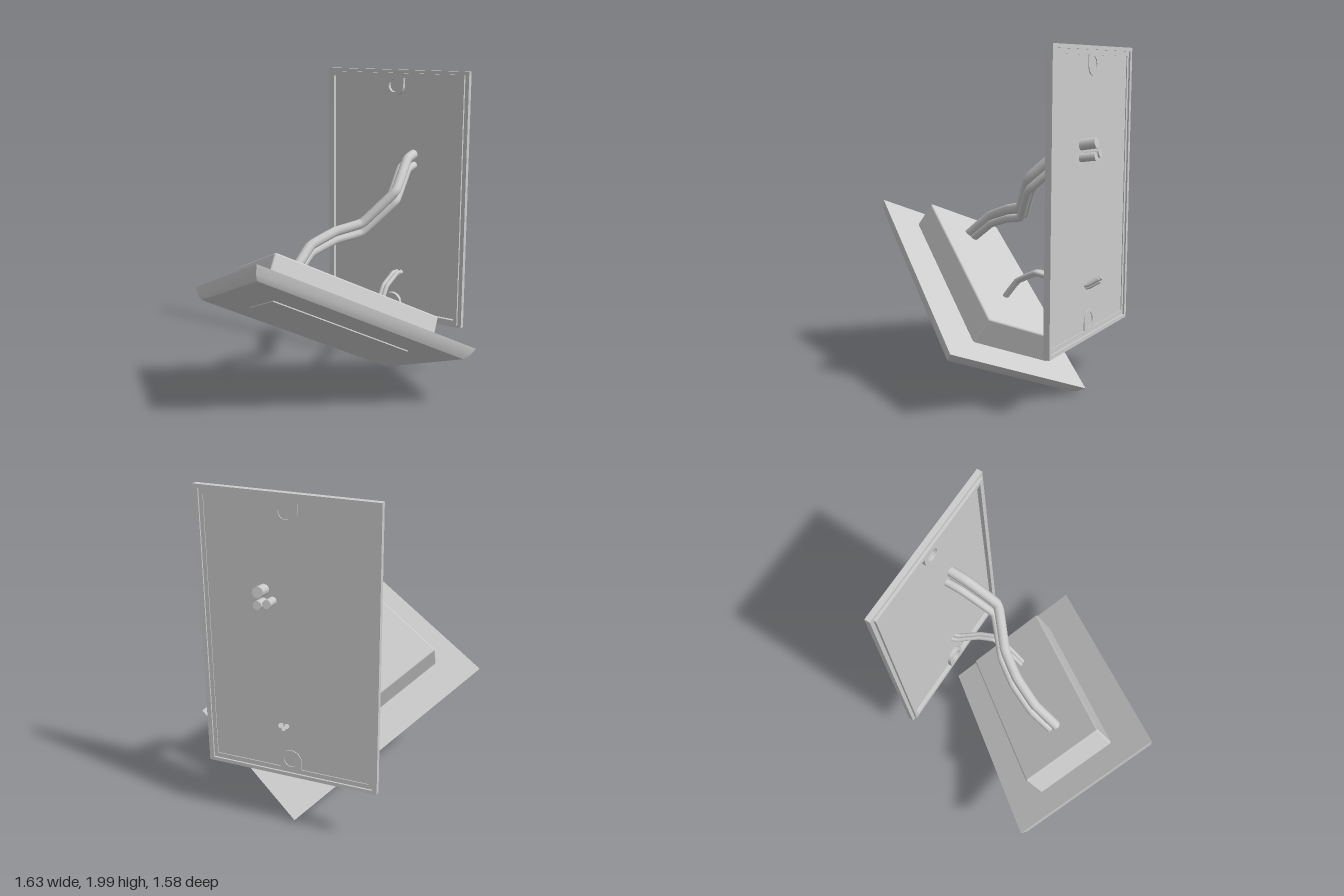
import * as THREE from 'three';
import { toCreasedNormals } from 'three/addons/utils/BufferGeometryUtils.js';
import { RoundedBoxGeometry } from 'three/addons/geometries/RoundedBoxGeometry.js';

const grey = new THREE.MeshStandardMaterial({ color: 0xcccccc });

function addMesh(parent, name, geometry, x = 0, y = 0, z = 0) {
  const mesh = new THREE.Mesh(geometry, grey);
  mesh.name = name;
  mesh.position.set(x, y, z);
  parent.add(mesh);
  return mesh;
}

// Rectangle outline of half width w and half height h
function rectangle(w, h) {
  return new THREE.Shape([[-w, -h], [w, -h], [w, h], [-w, h]].map(p => new THREE.Vector2(...p)));
}

// Rectangular opening with a rounded screw tab reaching in at top and bottom
function tabbedOpening(w, h, tabY, r) {
  const p = new THREE.Path();
  p.moveTo(-w, -h).lineTo(-r, -h).lineTo(-r, -tabY);
  p.absarc(0, -tabY, r, Math.PI, 0, true);
  p.lineTo(r, -h).lineTo(w, -h).lineTo(w, h).lineTo(r, h).lineTo(r, tabY);
  p.absarc(0, tabY, r, 0, Math.PI, true);
  p.lineTo(-r, h).lineTo(-w, h).closePath();
  return p;
}

function extrude(shape, depth) {
  return new THREE.ExtrudeGeometry(shape, { depth, bevelEnabled: false, curveSegments: 8 });
}

// Solid made of stacked rectangles: rings of [inset, z], smooth along the profile
function steppedSlab(w, h, rings) {
  const pos = [], index = [];
  for (const [inset, z] of rings) {
    const a = w - inset, b = h - inset;
    pos.push(-a, -b, z, a, -b, z, a, b, z, -a, b, z);
  }
  for (let r = 0; r < rings.length - 1; r++) {
    for (let i = 0; i < 4; i++) {
      const a = r * 4 + i, b = r * 4 + (i + 1) % 4;
      index.push(a, b, b + 4, a, b + 4, a + 4);
    }
  }
  const t = (rings.length - 1) * 4;
  index.push(0, 2, 1, 0, 3, 2, t, t + 1, t + 2, t, t + 2, t + 3);
  const g = new THREE.BufferGeometry();
  g.setAttribute('position', new THREE.Float32BufferAttribute(pos, 3));
  g.setIndex(index);
  return toCreasedNormals(g, 0.45);
}

// Bundle of strands following one path; the strands spread towards the far end
function cableBundle(name, path, strands) {
  const group = new THREE.Group();
  group.name = name;
  for (const { offset, radius } of strands) {
    const points = path.map((p, i) => {
      const spread = 0.65 + 0.35 * i / (path.length - 1);
      return new THREE.Vector3(...p).addScaledVector(new THREE.Vector3(...offset), spread);
    });
    const curve = new THREE.CatmullRomCurve3(points, false, 'catmullrom', 0.12);
    addMesh(group, 'cableStrand', new THREE.TubeGeometry(curve, 48, radius, 10));
    // end caps
    for (const [t, sign] of [[0, -1], [1, 1]]) {
      const cap = addMesh(group, 'cableEnd', new THREE.CircleGeometry(radius, 10));
      cap.position.copy(curve.getPointAt(t));
      cap.quaternion.setFromUnitVectors(new THREE.Vector3(0, 0, 1), curve.getTangentAt(t).multiplyScalar(sign));
    }
  }
  return group;
}

function createWallPlate() {
  const plate = new THREE.Group();
  plate.name = 'wallPlate';
  plate.position.set(0.005, 1.175, 0);

  const outer = rectangle(0.515, 0.825);
  outer.holes.push(rectangle(0.488, 0.803));
  addMesh(plate, 'outerFrame', extrude(outer, 0.034), 0, 0, -0.706);

  const inner = rectangle(0.49, 0.805);
  inner.holes.push(tabbedOpening(0.465, 0.775, 0.725, 0.065));
  for (const s of [-1, 1]) {
    inner.holes.push(new THREE.Path().absarc(0, s * 0.725, 0.042, 0, Math.PI * 2, false));
  }
  addMesh(plate, 'innerFrame', extrude(inner, 0.04), 0, 0, -0.696);

  addMesh(plate, 'backSheet', new THREE.BoxGeometry(0.97, 1.6, 0.01), 0, 0, -0.686);
  return plate;
}

function createFaceUnit() {
  const unit = new THREE.Group();
  unit.name = 'faceUnit';

  // Local x runs across the short side, y along the long side, z out of the face
  const u = new THREE.Vector3(0.831, 0.369, 0.415).normalize();
  const n = u.clone().cross(new THREE.Vector3(-0.556, 0.431, 0.711)).normalize();
  const v = n.clone().cross(u);
  unit.quaternion.setFromRotationMatrix(new THREE.Matrix4().makeBasis(u, v, n));
  unit.position.set(-0.002, 0.535, 0.055);

  addMesh(unit, 'facePlate', steppedSlab(0.4875, 0.742, [[0, 0], [0.022, 0.05], [0.045, 0.076]]));
  addMesh(unit, 'screen', new THREE.BoxGeometry(0.345, 0.945, 0.016), 0, 0, 0.075);
  addMesh(unit, 'rearHousing', new RoundedBoxGeometry(0.54, 1.15, 0.18, 2, 0.012), 0, 0, -0.08);
  return unit;
}

export function createModel() {
  const model = new THREE.Group();
  model.name = 'wallPanelWithCables';
  model.add(createWallPlate(), createFaceUnit());

  // Thick bundle from the housing up through the plate
  model.add(cableBundle('mainCables', [
    [-0.165, 0.82, 0.25], [-0.155, 0.965, 0.07], [-0.085, 1.03, -0.10], [0.02, 1.07, -0.25],
    [0.175, 1.265, -0.39], [0.145, 1.44, -0.59], [0.135, 1.475, -0.78],
  ], [
    { offset: [0, 0.005, 0], radius: 0.031 },
    { offset: [-0.05, -0.055, 0], radius: 0.024 },
    { offset: [0.005, -0.068, 0], radius: 0.024 },
  ]));

  // Thin bundle from the lower end of the housing
  model.add(cableBundle('thinCables', [
    [0.16, 0.54, -0.21], [0.155, 0.67, -0.31], [0.16, 0.73, -0.43], [0.13, 0.705, -0.53],
    [0.06, 0.665, -0.65], [0.04, 0.667, -0.70], [0.015, 0.705, -0.76],
  ], [
    { offset: [-0.018, 0, 0], radius: 0.014 },
    { offset: [0.018, 0, 0], radius: 0.014 },
    { offset: [0, -0.018, 0], radius: 0.012 },
  ]));
  return model;
}
